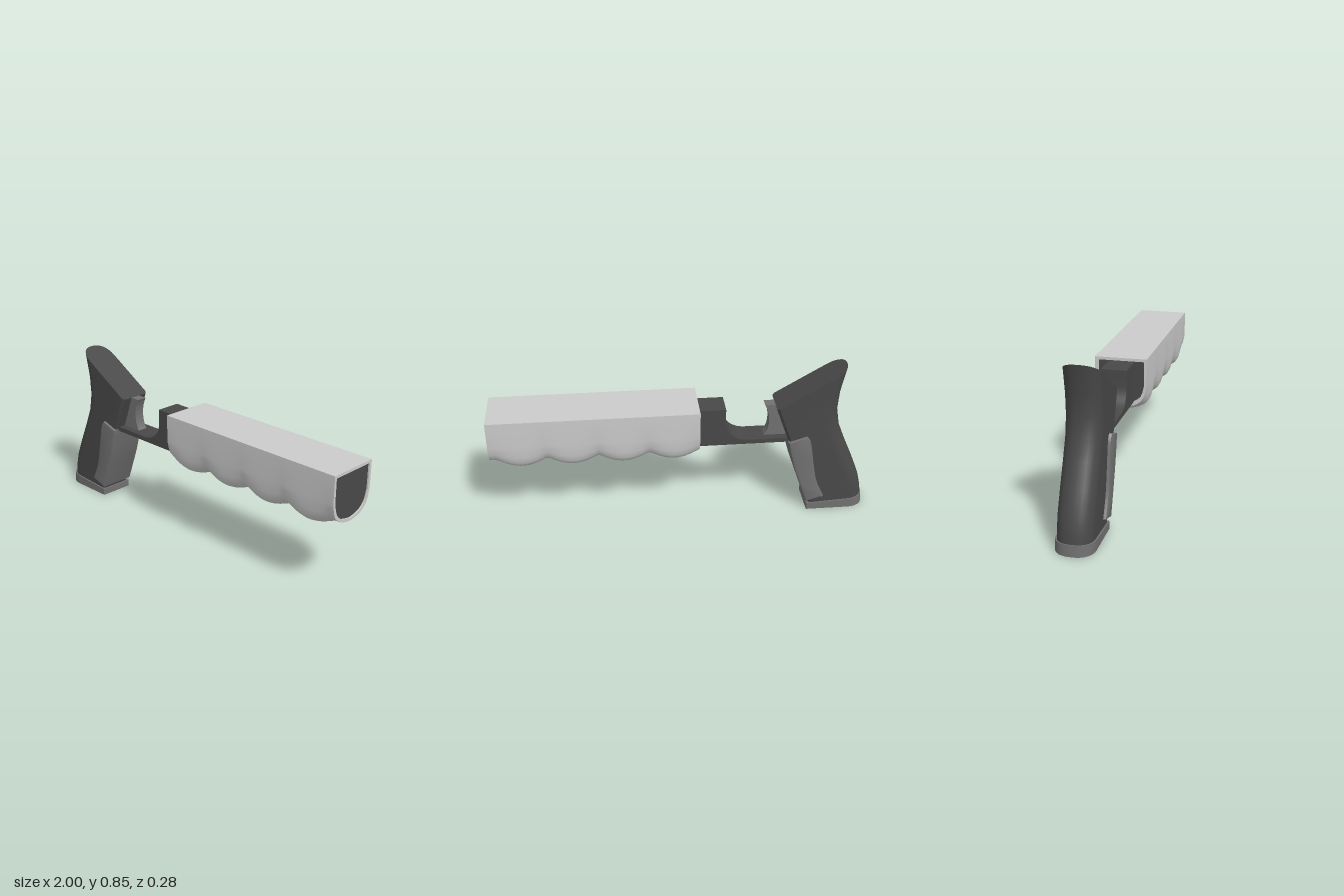
import * as THREE from 'three';
import { toCreasedNormals } from 'three/addons/utils/BufferGeometryUtils.js';

const material = (color) => new THREE.MeshStandardMaterial({ color });
const light = material(0xcccccc);
const mid = material(0x707070);
const dark = material(0x484848);

// Skin closed rings of [x, y, z]; either cap both ends or join last ring to first
function loft(rings, { joinEnds = false, crease = 0.6 } = {}) {
  const n = rings[0].length;
  const pos = rings.flat(2);
  const idx = [];
  const spans = joinEnds ? rings.length : rings.length - 1;
  for (let r = 0; r < spans; r++) {
    const s = (r + 1) % rings.length;
    for (let i = 0; i < n; i++) {
      const j = (i + 1) % n;
      idx.push(r * n + i, r * n + j, s * n + j, r * n + i, s * n + j, s * n + i);
    }
  }
  if (!joinEnds) {
    const end = (rings.length - 1) * n;
    for (let i = 1; i < n - 1; i++) {
      idx.push(0, i + 1, i, end, end + i, end + i + 1);
    }
  }
  // Signed volume decides which way the faces must wind
  let volume = 0;
  const p = (k) => new THREE.Vector3().fromArray(pos, k * 3);
  for (let k = 0; k < idx.length; k += 3) {
    volume += p(idx[k]).dot(p(idx[k + 1]).cross(p(idx[k + 2])));
  }
  if (volume < 0) idx.reverse();
  const geo = new THREE.BufferGeometry();
  geo.setAttribute('position', new THREE.Float32BufferAttribute(pos, 3));
  geo.setIndex(idx);
  return toCreasedNormals(geo, crease);
}

// Side outline extruded evenly about z = 0
function slab(shape, halfWidth, bevel = 0) {
  const geo = new THREE.ExtrudeGeometry(shape, {
    depth: 2 * (halfWidth - bevel), curveSegments: 16, bevelEnabled: bevel > 0,
    bevelSize: bevel, bevelThickness: bevel, bevelOffset: -bevel, bevelSegments: 2,
  });
  geo.translate(0, 0, -(halfWidth - bevel));
  return toCreasedNormals(geo, 0.6);
}

// Grip section: rounded at the back, chamfered at the front
function gripRing([xb, yb, xf, yf], halfWidth, round, chamfer) {
  const len = xf - xb;
  const half = [];
  for (let i = 0; i <= 8; i++) {
    const a = (i / 8) * Math.PI / 2;
    half.push([round * (1 - Math.cos(a)), halfWidth * Math.pow(Math.sin(a), 0.8)]);
  }
  half.push([len - chamfer, halfWidth], [len, halfWidth - chamfer]);
  const mirrored = half.slice(1).reverse().map(([d, z]) => [d, -z]);
  return [...half, ...mirrored].map(([d, z]) => [xb + d, yb + (yf - yb) * d / len, z]);
}

// Forend section from its right half, given as [z, y]
const mirrorSection = (half, x) => {
  const other = half.slice(0, -1).reverse().map(([z, y]) => [-z, y]);
  return [...half, ...other].map(([z, y]) => [x, y, z]);
};

// Smooth a coarse lower curve between the straight side and the keel
function underside(top, pts) {
  const curve = new THREE.SplineCurve(pts.map(([z, y]) => new THREE.Vector2(z, y)));
  return [top, ...curve.getPoints(9).map((v) => [v.x, v.y])];
}

export function createModel() {
  const model = new THREE.Group();
  const add = (name, geo, mat) => {
    const mesh = new THREE.Mesh(geo, mat);
    mesh.name = name;
    model.add(mesh);
  };

  // Forend shell with four finger swells along the bottom
  const ridge = underside([0.138, 0.667], [[0.138, 0.525], [0.119, 0.455], [0.07, 0.415], [0, 0.4]]);
  const swell = underside([0.138, 0.667], [[0.138, 0.525], [0.126, 0.42], [0.08, 0.378], [0, 0.36]]);
  const bore = underside([0.124, 0.652], [[0.124, 0.525], [0.106, 0.465], [0.063, 0.429], [0, 0.415]]);
  const shell = [];
  const x0 = -0.08, x1 = 1, pitch = 0.262, steps = 64;
  for (let i = 0; i <= steps; i++) {
    const x = x0 + (x1 - x0) * i / steps;
    const t = x > x0 + 4 * pitch ? 0 : Math.abs(Math.sin(Math.PI * (x - x0) / pitch));
    shell.push(mirrorSection(ridge.map(([z, y], k) => [
      z + (swell[k][0] - z) * t, y + (swell[k][1] - y) * t,
    ]), x));
  }
  shell.push(mirrorSection(bore, x1), mirrorSection(bore, x0));
  add('forendShell', loft(shell, { joinEnds: true, crease: 0.7 }), light);
  add('forendCore', loft([mirrorSection(bore, -0.05), mirrorSection(bore, 0.992)]), dark);

  // Receiver block running back into the thin lower bar
  const frame = new THREE.Shape();
  frame.moveTo(-0.6, 0.43);
  frame.lineTo(-0.04, 0.43);
  frame.lineTo(-0.04, 0.643);
  frame.lineTo(-0.22, 0.643);
  frame.lineTo(-0.22, 0.56);
  frame.bezierCurveTo(-0.225, 0.5, -0.27, 0.455, -0.34, 0.455);
  frame.lineTo(-0.6, 0.455);
  frame.closePath();
  add('receiverFrame', slab(frame, 0.067), dark);

  // Trigger with a concave face
  const trigger = new THREE.Shape();
  trigger.moveTo(-0.57, 0.45);
  trigger.lineTo(-0.43, 0.455);
  trigger.bezierCurveTo(-0.463, 0.5, -0.463, 0.58, -0.43, 0.635);
  trigger.lineTo(-0.52, 0.635);
  trigger.closePath();
  add('trigger', slab(trigger, 0.028), mid);

  // Grip body: back x, y and front x, y of each section
  const gripSections = [
    [-0.99, 0.045, -0.685, 0.035], [-0.985, 0.1, -0.67, 0.09], [-0.965, 0.18, -0.648, 0.17],
    [-0.925, 0.28, -0.615, 0.25], [-0.872, 0.4, -0.58, 0.36], [-0.832, 0.5, -0.555, 0.44],
    [-0.815, 0.6, -0.525, 0.52], [-0.822, 0.71, -0.5, 0.59], [-0.85, 0.85, -0.485, 0.635],
  ];
  add('grip', loft(gripSections.map((s) => gripRing(s, 0.088, 0.085, 0.012))), dark);

  // Raised panel wrapping the front of the grip
  const strap = new THREE.Shape();
  strap.moveTo(-0.67, 0.055);
  strap.splineThru([[-0.635, 0.15], [-0.59, 0.28], [-0.56, 0.4], [-0.553, 0.438]]
    .map(([x, y]) => new THREE.Vector2(x, y)));
  strap.lineTo(-0.65, 0.47);
  strap.splineThru([[-0.673, 0.43], [-0.698, 0.29], [-0.722, 0.18], [-0.765, 0.085]]
    .map(([x, y]) => new THREE.Vector2(x, y)));
  strap.closePath();
  add('gripFrontStrap', slab(strap, 0.104, 0.012), mid);

  // Base plate under the grip
  const base = [[-1, 0, -0.675, 0], [-0.995, 0.056, -0.675, 0.037]];
  add('gripBasePlate', loft(base.map((s) => gripRing(s, 0.096, 0.09, 0.003))), mid);

  return model;
}
